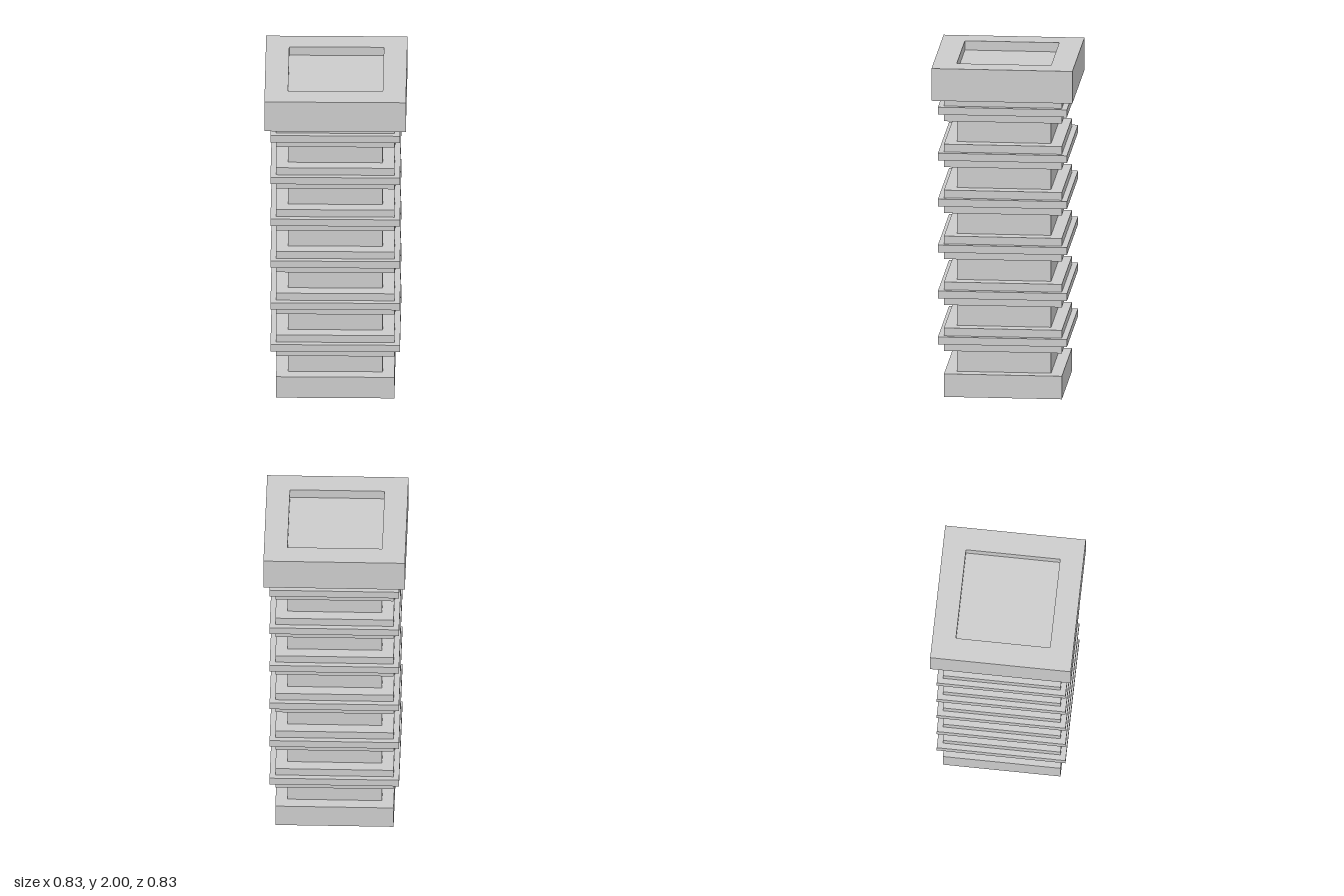
import * as THREE from 'three';

const U = 2 / 14.4; // height of one course of the column
const SHAFT = 4 * U; // shaft width

export function createModel() {
  const group = new THREE.Group();
  const material = new THREE.MeshStandardMaterial({ color: 0xcccccc, flatShading: true });

  const add = (name, geometry, y) => {
    const mesh = new THREE.Mesh(geometry, material);
    mesh.name = name;
    mesh.position.y = y;
    group.add(mesh);
  };
  const slab = (name, width, height, centreY) =>
    add(name, new THREE.BoxGeometry(width, height, width), centreY);

  // Square foot and the shaft, whose top is the floor of the cap's recess
  slab('base', 5 * U, U, U / 2);
  slab('shaft', SHAFT, 13 * U, 7.5 * U);

  // Six evenly spaced collars, each with a thin projecting flange
  for (let i = 0; i < 6; i++) {
    const y = (2.5 + 2 * i) * U;
    slab(`collar${i + 1}`, 5 * U, U, y);
    slab(`flange${i + 1}`, 0.76, 0.045, y);
  }

  // Wide cap with a square opening
  const square = (Type, h) =>
    new Type([[-h, -h], [h, -h], [h, h], [-h, h]].map(([x, y]) => new THREE.Vector2(x, y)));
  const outline = square(THREE.Shape, 0.415);
  outline.holes.push(square(THREE.Path, SHAFT / 2));
  const cap = new THREE.ExtrudeGeometry(outline, { depth: 1.4 * U, bevelEnabled: false });
  cap.rotateX(-Math.PI / 2);
  add('cap', cap, 13 * U);

  return group;
}
